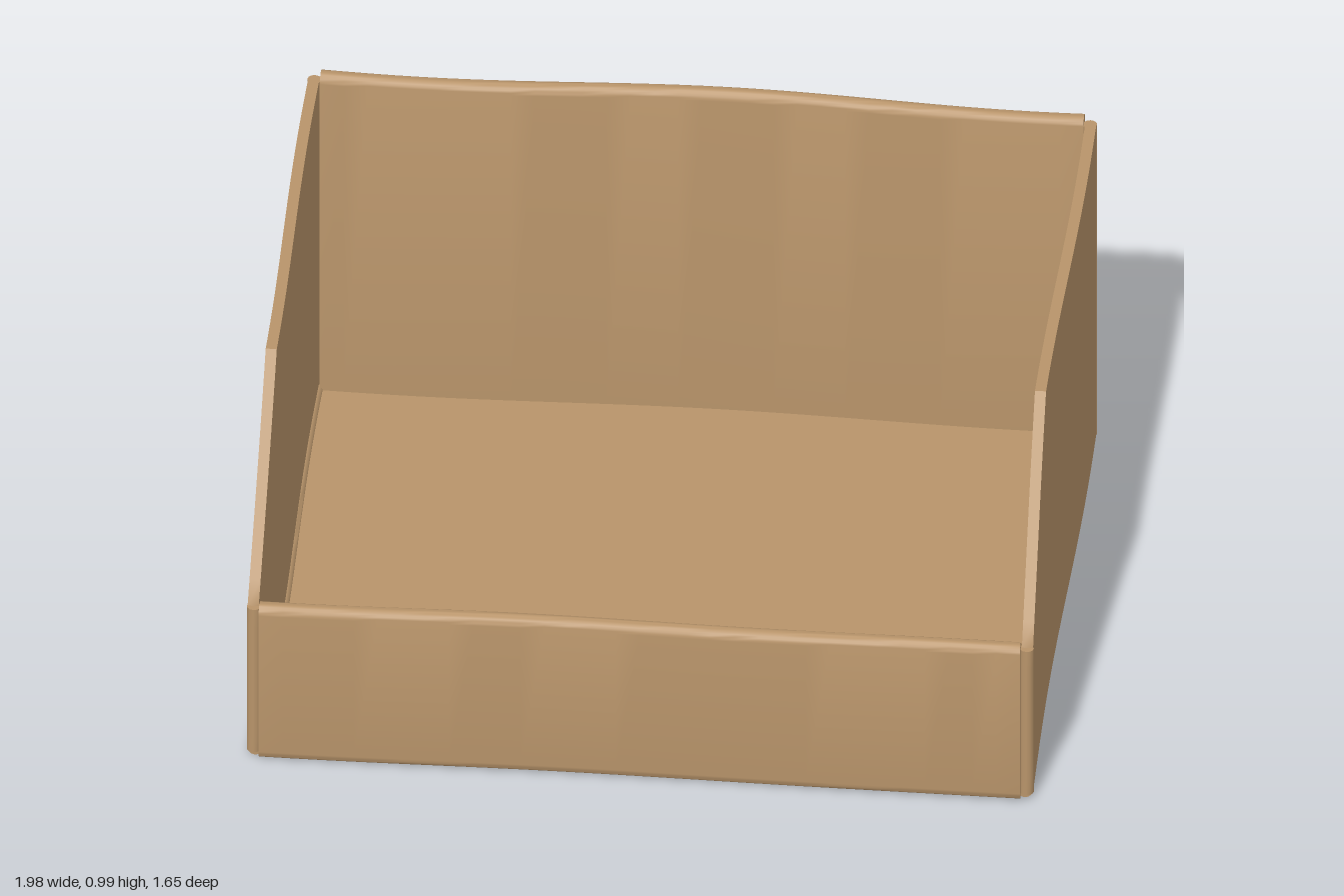
import * as THREE from 'three';
import { toCreasedNormals } from 'three/addons/utils/BufferGeometryUtils.js';

const cardboard = new THREE.MeshStandardMaterial({ color: 0xb8946a });

// Gentle bowing of the card, then normals that keep the fold lines sharp
function warp(geometry) {
  const p = geometry.attributes.position;
  for (let i = 0; i < p.count; i++) {
    const x = p.getX(i), y = p.getY(i), z = p.getZ(i);
    const back = THREE.MathUtils.clamp(0.5 - z / 1.6, 0, 1);
    const dy = (0.007 * Math.cos(4.2 * (x - 0.1)) * back + 0.004 * Math.cos(5.5 * (x + 0.35)) * (1 - back)) * Math.min(1, y + 0.3);
    const dz = 0.006 * Math.cos(4 * x) * (z < 0 ? -1 : -0.6);
    const dx = 0.006 * Math.sin(3.6 * z + 0.4) * (x / 0.98) * -1;
    p.setXYZ(i, x + dx, y + dy, z + dz);
  }
  return toCreasedNormals(geometry, 0.7);
}

function add(group, name, geometry) {
  const mesh = new THREE.Mesh(warp(geometry), cardboard);
  mesh.name = name;
  group.add(mesh);
}

// Cross-section of base, front wall and back wall with rounded rims
function trayProfile() {
  const s = new THREE.Shape();
  const out = 0.82, inn = 0.772, low = 0.012, floor = 0.036, r = 0.024;
  const fTop = 0.475, bTop = 0.992;
  s.moveTo(-out + r, low);
  for (let i = 1; i <= 8; i++) s.lineTo(-out + r + (2 * (out - r) * i) / 8, low);
  s.quadraticCurveTo(out, low, out, low + r);
  s.lineTo(out, fTop - r);
  s.absarc(out - r, fTop - r, r, 0, Math.PI, false);
  s.lineTo(inn, floor);
  for (let i = 1; i <= 8; i++) s.lineTo(inn - (2 * inn * i) / 8, floor);
  s.lineTo(-inn, bTop - r);
  s.absarc(-out + r, bTop - r, r, 0, Math.PI, false);
  s.lineTo(-out, low + r);
  s.quadraticCurveTo(-out, low, -out + r, low);
  return s;
}

// Side wall: a slab whose top edge slopes down towards the front
function sideWall(sx) {
  const g = new THREE.BoxGeometry(0.028, 1, 1.58, 1, 10, 40);
  const p = g.attributes.position;
  for (let i = 0; i < p.count; i++) {
    const z = p.getZ(i), t = p.getY(i) + 0.5;
    const top = z > 0.395 ? THREE.MathUtils.mapLinear(z, 0.395, 0.79, 0.97, 0.462) : 0.97;
    p.setXYZ(i, p.getX(i) + sx * 0.972, 0.025 + t * (top - 0.025), z);
  }
  return g;
}

export function createModel() {
  const group = new THREE.Group();
  group.name = 'cardboardTray';

  // Base, front and back as one folded sheet
  const width = 1.91;
  const body = new THREE.ExtrudeGeometry(trayProfile(), {
    depth: width, steps: 32, bevelEnabled: false, curveSegments: 6,
  });
  body.rotateY(-Math.PI / 2).translate(width / 2, 0, 0);
  add(group, 'baseFrontAndBack', body);

  for (const sx of [-1, 1]) {
    const side = sx > 0 ? 'left' : 'right';
    add(group, side + 'Wall', sideWall(sx));

    // Rounded fold where the side meets the base
    const fold = new THREE.CylinderGeometry(0.019, 0.019, 1.6, 12, 24);
    fold.rotateX(Math.PI / 2).translate(sx * 0.966, 0.032, 0);
    add(group, side + 'BottomFold', fold);

    // Rounded upright folds at the corners
    for (const [name, z, top] of [['FrontCorner', 0.79, 0.46], ['BackCorner', -0.79, 0.97]]) {
      const corner = new THREE.CylinderGeometry(0.018, 0.018, top - 0.025, 12, 8);
      corner.translate(sx * 0.97, (top + 0.025) / 2, z);
      add(group, side + name, corner);
    }
  }
  return group;
}
